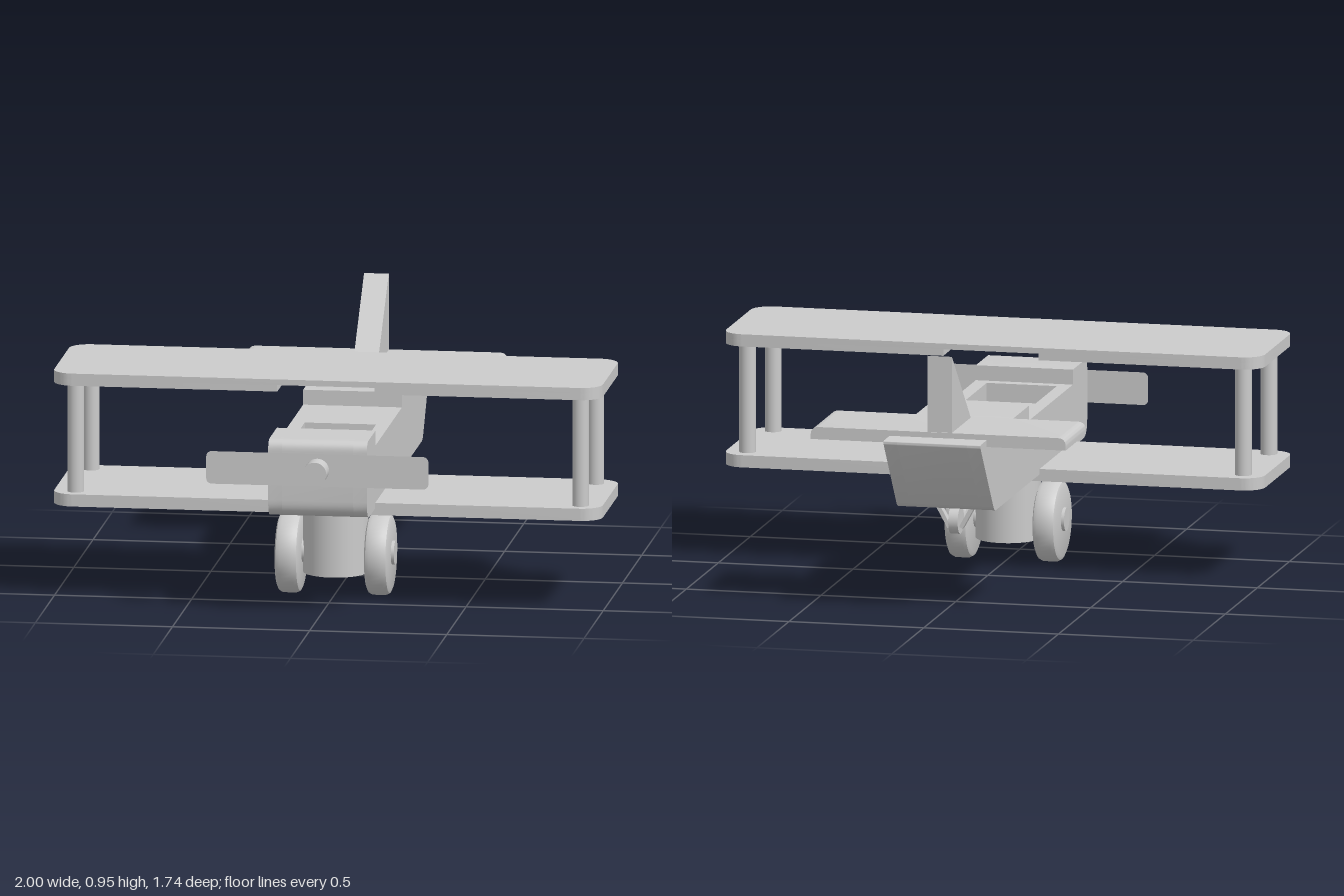
import * as THREE from 'three';
import { toCreasedNormals } from 'three/addons/utils/BufferGeometryUtils.js';

const material = new THREE.MeshStandardMaterial({ color: 0xcccccc });
const thinMaterial = new THREE.MeshStandardMaterial({ color: 0xcccccc, side: THREE.DoubleSide });

export function createModel() {
  const model = new THREE.Group();
  const add = (name, geometry, x = 0, y = 0, z = 0, mat = material) => {
    const mesh = new THREE.Mesh(geometry, mat);
    mesh.name = name;
    mesh.position.set(x, y, z);
    model.add(mesh);
    return mesh;
  };
  const extrude = (shape, depth) => toCreasedNormals(
    new THREE.ExtrudeGeometry(shape, { depth, bevelEnabled: false, curveSegments: 8 }), 0.6);

  // Rectangle with one radius for the left corners and one for the right
  const roundedRect = (x0, x1, y0, y1, rl, rr) => {
    const s = new THREE.Shape();
    s.moveTo(x0 + rl, y0);
    s.lineTo(x1 - rr, y0);
    if (rr) s.absarc(x1 - rr, y0 + rr, rr, -Math.PI / 2, 0);
    s.lineTo(x1, y1 - rr);
    if (rr) s.absarc(x1 - rr, y1 - rr, rr, 0, Math.PI / 2);
    s.lineTo(x0 + rl, y1);
    if (rl) s.absarc(x0 + rl, y1 - rl, rl, Math.PI / 2, Math.PI);
    s.lineTo(x0, y0 + rl);
    if (rl) s.absarc(x0 + rl, y0 + rl, rl, Math.PI, Math.PI * 1.5);
    return s;
  };

  // Fuselage: side profile (u = -z) in three slices, the middle one with the cockpit well
  const sideProfile = (well) => {
    const s = new THREE.Shape();
    s.moveTo(-0.73, 0.37);
    s.lineTo(0.63, 0.37);
    s.quadraticCurveTo(0.655, 0.37, 0.67, 0.39);
    s.lineTo(0.865, 0.635);
    s.quadraticCurveTo(0.875, 0.655, 0.86, 0.655);
    s.lineTo(0.115, 0.655);
    s.lineTo(0.115, 0.6);
    if (well) [[-0.2, 0.6], [-0.2, 0.47], [-0.53, 0.47], [-0.53, 0.6]].forEach((p) => s.lineTo(...p));
    s.lineTo(-0.57, 0.6);
    s.lineTo(-0.57, 0.655);
    s.lineTo(-0.755, 0.655);
    s.quadraticCurveTo(-0.795, 0.655, -0.795, 0.615);
    s.lineTo(-0.795, 0.435);
    s.quadraticCurveTo(-0.795, 0.37, -0.73, 0.37);
    return s;
  };
  const slice = (name, x0, x1, well) => add(name,
    extrude(sideProfile(well), x1 - x0).rotateY(Math.PI / 2), x0);
  slice('fuselageRightWall', -0.18, -0.13, false);
  slice('fuselageCore', -0.13, 0.13, true);
  slice('fuselageLeftWall', 0.13, 0.18, false);

  // Wings
  const plate = (name, x0, x1, y0, y1, rl, rr) => add(name,
    extrude(roundedRect(x0, x1, -0.265, 0.265, rl, rr), y1 - y0).rotateX(-Math.PI / 2), 0, y0, 0.315);
  plate('lowerWing', -1, 1, 0.345, 0.39, 0.075, 0.075);
  plate('upperWing', -1, 1, 0.814, 0.835, 0.075, 0.075);
  // Underside of the upper wing, leaving a central channel
  plate('upperWingRightUnderside', -1, -0.177, 0.79, 0.814, 0.075, 0);
  plate('upperWingLeftUnderside', 0.177, 1, 0.79, 0.814, 0, 0.075);

  // Wing struts, each of two stacked dowels
  for (const x of [-0.92, 0.92]) {
    for (const z of [0.12, 0.518]) {
      for (const y of [0.49, 0.69]) {
        add('wingStrut', new THREE.CylinderGeometry(0.03, 0.03, 0.2, 32), x, y, z);
      }
    }
  }

  // Propeller blade and shaft
  add('propeller', new THREE.ShapeGeometry(roundedRect(-0.405, 0.405, -0.06, 0.06, 0.02, 0.02)),
    0, 0.55, 0.8, thinMaterial);
  add('propellerShaft', new THREE.CylinderGeometry(0.043, 0.043, 0.09, 32).rotateX(Math.PI / 2),
    0, 0.55, 0.828);

  // Tailplane with rounded upper ends
  const tail = new THREE.Shape();
  tail.moveTo(-0.473, 0.63);
  tail.lineTo(0.473, 0.63);
  tail.lineTo(0.473, 0.645);
  tail.quadraticCurveTo(0.473, 0.675, 0.443, 0.675);
  tail.lineTo(-0.443, 0.675);
  tail.quadraticCurveTo(-0.473, 0.675, -0.473, 0.645);
  add('tailplane', extrude(tail, 0.315), 0, 0, -0.775);

  // Tail fin
  const fin = new THREE.Shape();
  fin.moveTo(0.45, 0.65);
  fin.lineTo(0.77, 0.65);
  fin.lineTo(0.77, 0.955);
  add('tailFin', extrude(fin, 0.09).rotateY(Math.PI / 2), -0.05);

  // Main landing gear
  add('gearColumn', new THREE.CylinderGeometry(0.118, 0.118, 0.27, 48), 0, 0.215, 0.318);
  add('axle', new THREE.CylinderGeometry(0.043, 0.043, 0.434, 32).rotateZ(Math.PI / 2), 0, 0.155, 0.318);
  const wheelProfile = [[0, -0.043], [0.127, -0.043], [0.141, -0.037], [0.148, -0.023],
    [0.148, 0.023], [0.141, 0.037], [0.127, 0.043], [0, 0.043]].map((p) => new THREE.Vector2(...p));
  for (const side of [-1, 1]) {
    const wheel = toCreasedNormals(new THREE.LatheGeometry(wheelProfile, 48), 0.6).rotateZ(Math.PI / 2);
    add('mainWheel', wheel, side * 0.163, 0.148, 0.318);
  }

  // Tail wheel in a V-shaped bracket
  for (const side of [-1, 1]) {
    const leg = add('tailWheelBracket', new THREE.BoxGeometry(0.015, 0.12, 0.034), side * 0.05, 0.327, -0.495);
    leg.rotation.z = -side * 0.5;
  }
  add('tailWheel', new THREE.CylinderGeometry(0.05, 0.05, 0.035, 32).rotateZ(Math.PI / 2), 0, 0.3, -0.495);

  return model;
}
